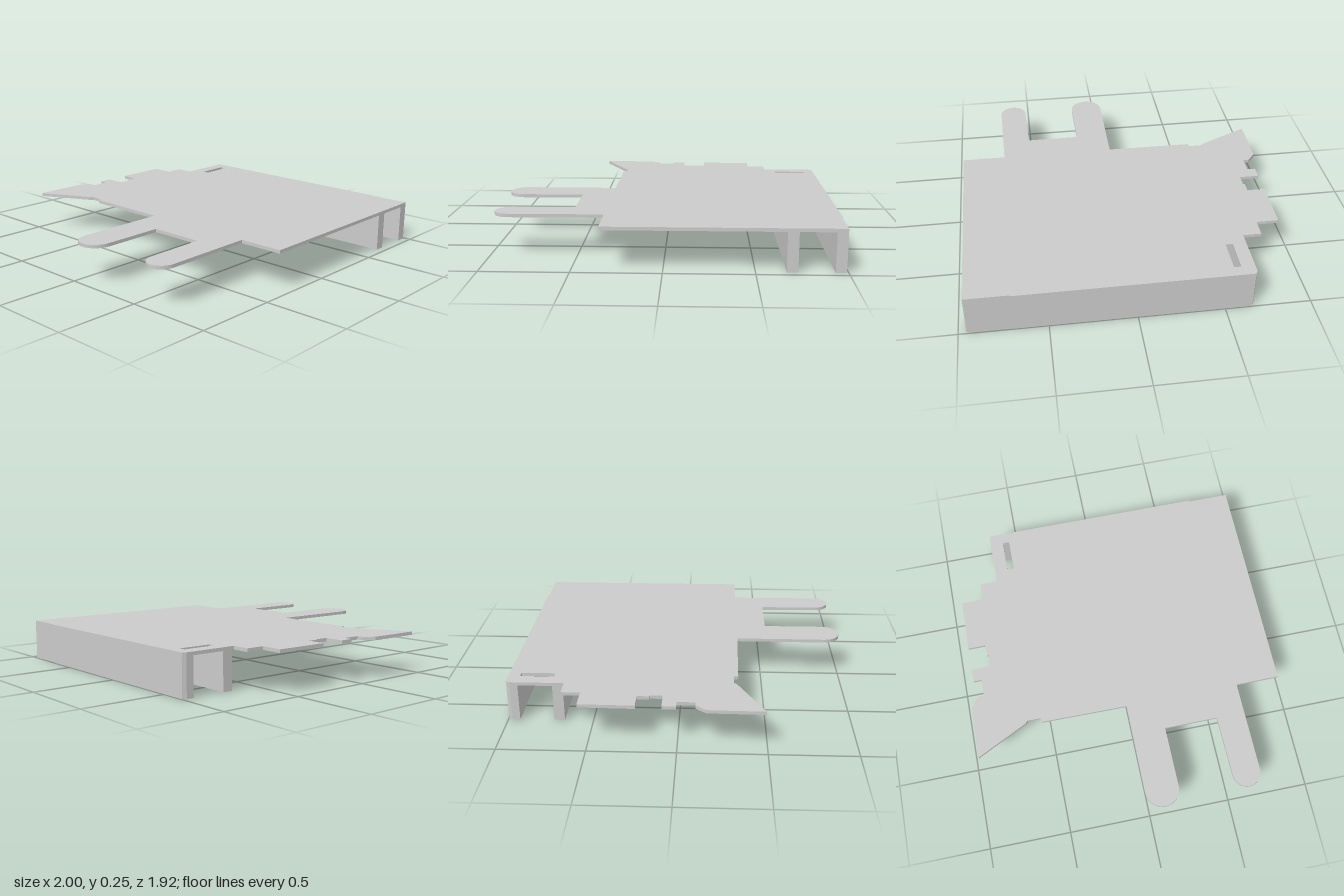
import * as THREE from 'three';

const material = new THREE.MeshStandardMaterial({ color: 0xcccccc, flatShading: true });

// Extrude a plan outline (points are x, z) upward from y0 to y1
function plate(name, shape, y0, y1) {
  const geometry = new THREE.ExtrudeGeometry(shape, { depth: y1 - y0, bevelEnabled: false, curveSegments: 10 });
  geometry.rotateX(-Math.PI / 2);
  geometry.translate(0, y0, 0);
  const mesh = new THREE.Mesh(geometry, material);
  mesh.name = name;
  return mesh;
}

const toPlan = (points) => points.map(([x, z]) => new THREE.Vector2(x, -z));

// Half-round tip of a prong that points toward -x
function roundTip(cx, cz, rx, rz, steps = 14) {
  const points = [];
  for (let i = 0; i <= steps; i++) {
    const a = (i / steps) * Math.PI;
    points.push([cx - rx * Math.sin(a), cz - rz * Math.cos(a)]);
  }
  return points;
}

export function createModel() {
  const group = new THREE.Group();
  group.name = 'bracketPlate';

  // Thin deck with stepped back edge and two rounded prongs
  const deck = new THREE.Shape(toPlan([
    [-0.485, -0.96], [-0.16, -0.955], [-0.1, -0.905], [-0.1, -0.87],
    [0.005, -0.87], [0.005, -0.92], [0.085, -0.92], [0.085, -0.8],
    [0.16, -0.8], [0.16, -0.81], [0.23, -0.81], [0.23, -0.92],
    [0.55, -0.915], [0.55, -0.78], [0.66, -0.78], [0.66, -0.67],
    [0.975, -0.67], [0.997, -0.66], [0.997, 0.7], [0.99, 0.7], [0.99, 0.955],
    [-0.345, 0.957], [-0.345, 0.69],
    ...roundTip(-0.895, 0.61, 0.088, 0.085).reverse(),
    [-0.53, 0.518], [-0.53, 0.19],
    ...roundTip(-0.897, 0.088, 0.103, 0.103).reverse(),
    [-0.345, -0.013], [-0.34, -0.545], [-0.315, -0.55], [-0.315, -0.63], [-0.33, -0.645],
  ]));
  // Rectangular slot between the rails
  deck.holes.push(new THREE.Path(toPlan([[0.73, -0.59], [0.73, -0.548], [0.928, -0.548], [0.928, -0.59]])));
  group.add(plate('deck', deck, 0.225, 0.245));

  // Two full-length rails hanging below the deck
  const innerRail = new THREE.Shape(toPlan([[0.668, -0.665], [0.73, -0.665], [0.73, 0.955], [0.668, 0.955]]));
  group.add(plate('innerRail', innerRail, 0, 0.225));
  const outerRail = new THREE.Shape(toPlan([
    [0.93, -0.668], [0.975, -0.668], [0.997, -0.658], [0.997, 0.7], [0.99, 0.7], [0.99, 0.955], [0.93, 0.955],
  ]));
  group.add(plate('outerRail', outerRail, 0, 0.225));

  return group;
}
